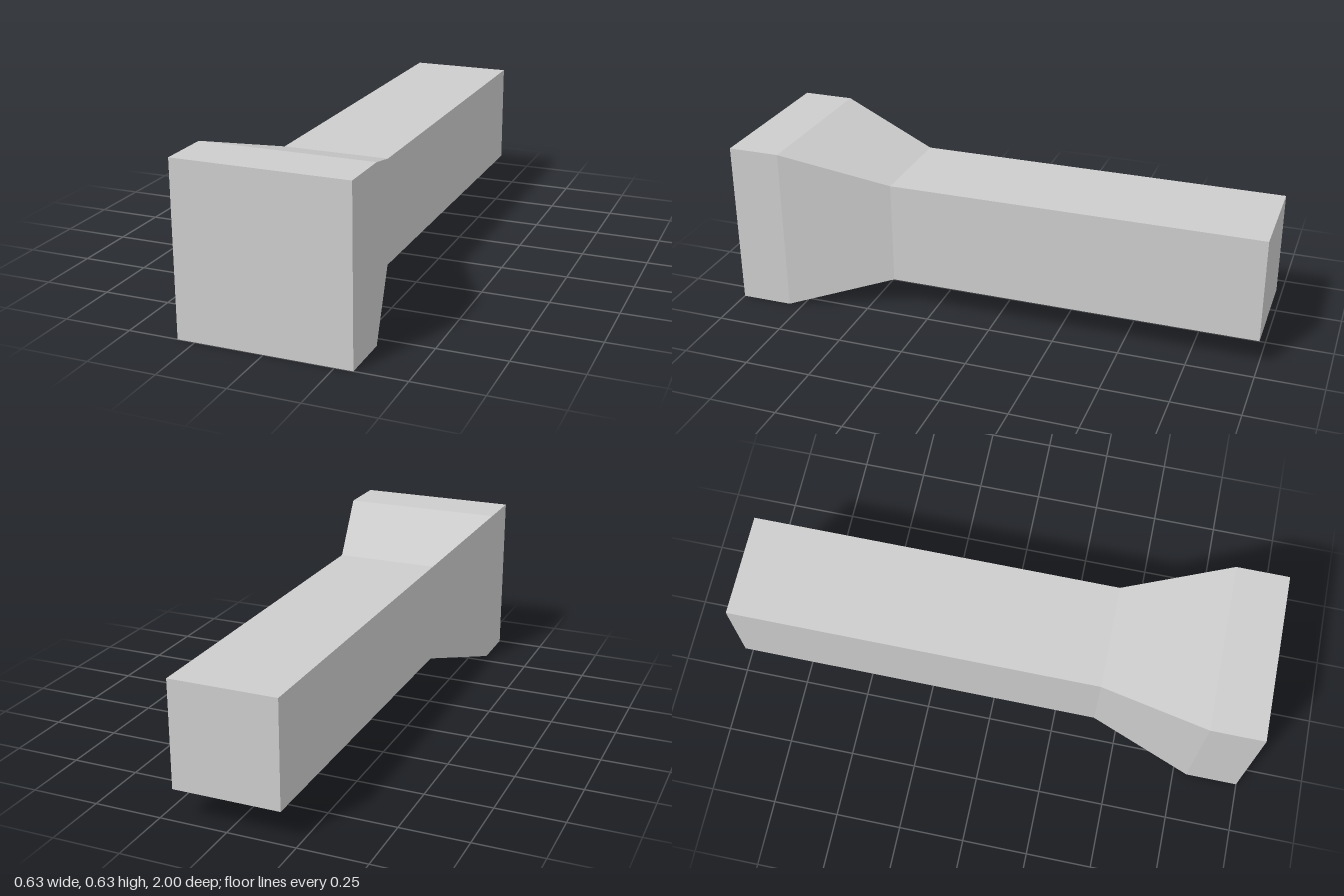
import * as THREE from 'three';

const HEAD = 0.315;   // half width of the square head
const SHAFT = 0.197;  // half width of the square shaft

// Square-section solid along z from a profile of [half width, z] pairs
function squareLoft(name, profile, material) {
  const points = profile.map(([half, z]) => new THREE.Vector2(half * Math.SQRT2, z));
  const lathe = new THREE.LatheGeometry(points, 4, Math.PI / 4);
  lathe.rotateX(Math.PI / 2);
  const geometry = lathe.toNonIndexed();
  geometry.computeVertexNormals(); // flat faces
  const mesh = new THREE.Mesh(geometry, material);
  mesh.name = name;
  mesh.position.y = HEAD;
  return mesh;
}

export function createModel() {
  const grey = new THREE.MeshStandardMaterial({ color: 0xcccccc });
  grey.name = 'light grey';

  const model = new THREE.Group();
  model.name = 'flaredBeam';
  model.add(
    // long shaft, closed at the back
    squareLoft('shaft', [[0, -1], [SHAFT, -1], [SHAFT, 0.405]], grey),
    // flare from shaft to head
    squareLoft('taper', [[SHAFT, 0.405], [HEAD, 0.803]], grey),
    // square head, closed at the front
    squareLoft('head', [[HEAD, 0.803], [HEAD, 1], [0, 1]], grey)
  );
  return model;
}
